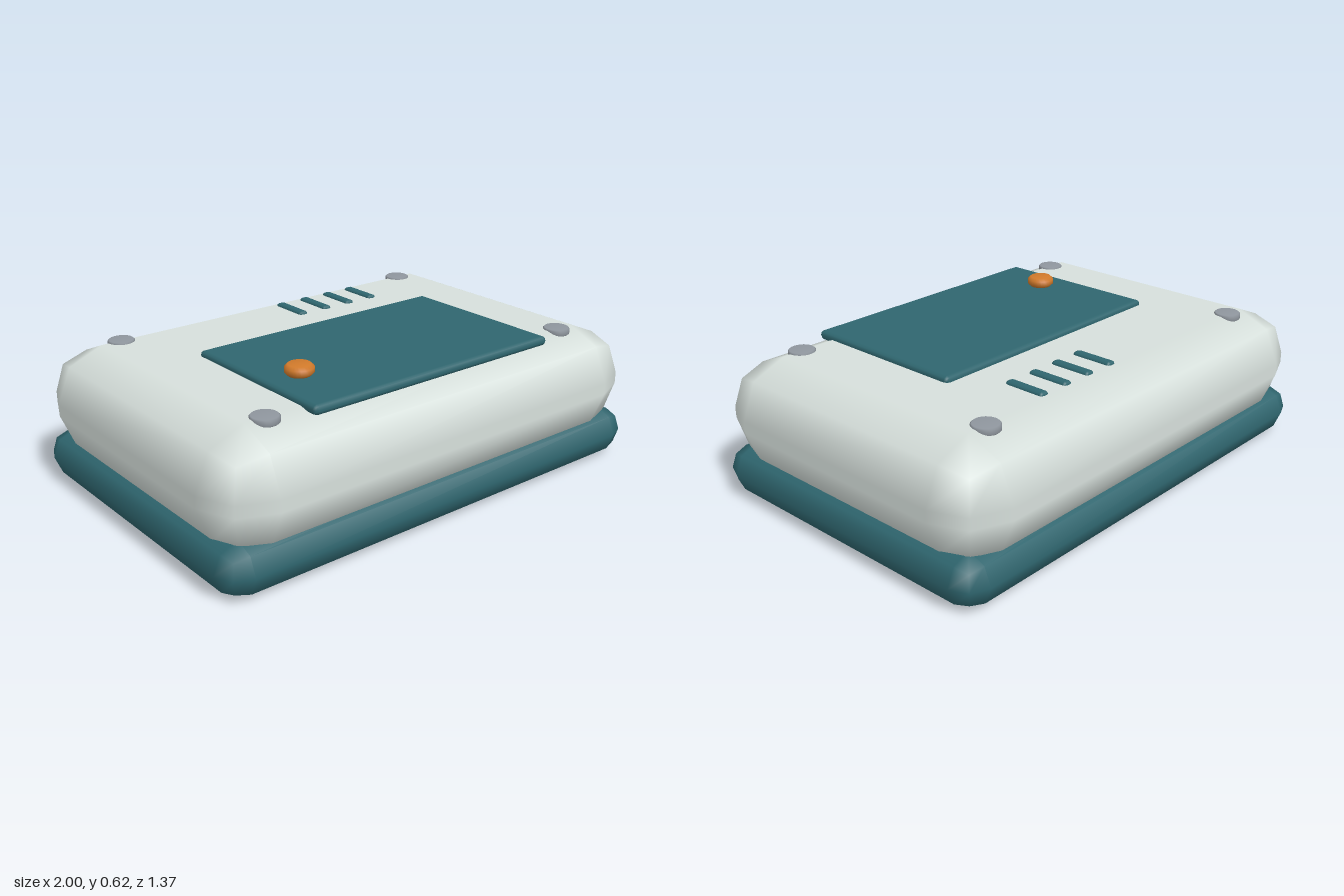
import * as THREE from 'three';
import { RoundedBoxGeometry } from 'three/addons/geometries/RoundedBoxGeometry.js';

const material = (name, color) => {
  const m = new THREE.MeshStandardMaterial({ color });
  m.name = name;
  return m;
};

export function createModel() {
  const model = new THREE.Group();
  const shell = material('pale grey shell', 0xd6dfdb);
  const teal = material('dark teal', 0x2f666f);
  const steel = material('steel grey', 0x8f969e);
  const orange = material('orange', 0xd17a2b);

  const add = (name, geometry, mat, x, y, z) => {
    const mesh = new THREE.Mesh(geometry, mat);
    mesh.name = name;
    mesh.position.set(x, y, z);
    model.add(mesh);
  };

  // Rounded box given by its bottom and top heights
  const slab = (name, mat, w, d, y0, y1, r, x = 0, z = 0) =>
    add(name, new RoundedBoxGeometry(w, y1 - y0, d, 1, r), mat, x, (y0 + y1) / 2, z);

  // Round button with bevelled rims, standing on y = 0
  const button = (r, h, bevel) => {
    const profile = [[0, 0], [r - bevel, 0], [r, bevel], [r, h - bevel], [r - bevel, h], [0, h]];
    const points = profile.map(([x, y]) => new THREE.Vector2(x, y));
    return new THREE.LatheGeometry(points, 24);
  };

  // Base and housing
  slab('base', teal, 2, 1.35, 0, 0.2, 0.1);
  slab('housing', shell, 2, 1.37, 0.11, 0.555, 0.2);

  // Top panel with its knob
  slab('topPanel', teal, 1.14, 0.716, 0.537, 0.576, 0.018, 0, 0.207);
  add('knob', button(0.055, 0.042, 0.012), orange, -0.43, 0.576, 0.291);

  // Row of vent slots behind the panel
  for (let i = 0; i < 4; i++) {
    slab('ventSlot', teal, 0.042, 0.177, 0.537, 0.567, 0.014, 0.04 + i * 0.124, -0.387);
  }

  // Corner screws
  for (const x of [-0.717, 0.717]) {
    for (const z of [-0.483, 0.483]) {
      add('cornerScrew', button(0.053, 0.028, 0.005), steel, x, 0.534, z);
    }
  }
  return model;
}
